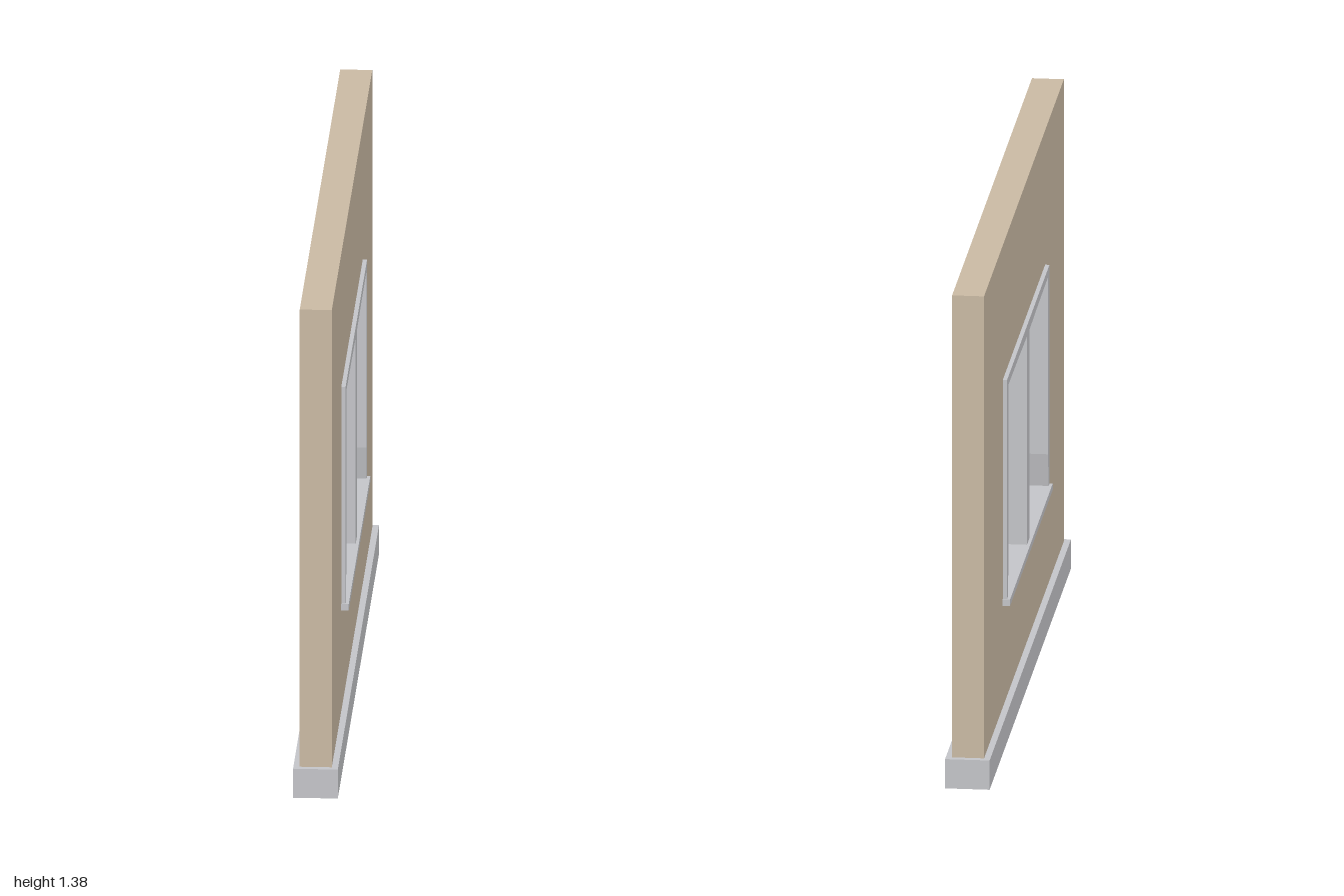
import * as THREE from 'three';

const wallPaint = new THREE.MeshStandardMaterial({ name: 'beige wall', color: 0xcabaa4 });
const trimPaint = new THREE.MeshStandardMaterial({ name: 'grey trim', color: 0xc4c5c9 });

const rect = (hw, y0, y1) => [[-hw, y0], [hw, y0], [hw, y1], [-hw, y1]];
const points = (list) => list.map(([a, b]) => new THREE.Vector2(a, b));

// Slab drawn in the (z, y) plane with openings, centred through its thickness in x
function slab(name, outline, holes, thickness, material) {
  const shape = new THREE.Shape(points(outline));
  holes.forEach((h) => shape.holes.push(new THREE.Path(points(h))));
  const geo = new THREE.ExtrudeGeometry(shape, { depth: thickness, bevelEnabled: false });
  geo.translate(0, 0, -thickness / 2).rotateY(-Math.PI / 2);
  const mesh = new THREE.Mesh(geo, material);
  mesh.name = name;
  return mesh;
}

function box(name, w, h, d, y, material) {
  const mesh = new THREE.Mesh(new THREE.BoxGeometry(w, h, d), material);
  mesh.position.y = y;
  mesh.name = name;
  return mesh;
}

export function createModel() {
  const model = new THREE.Group();
  model.name = 'wallWithWindow';

  // Plinth and wall panel
  model.add(box('plinth', 0.12, 0.082, 2, 0.041, trimPaint));
  const opening = rect(0.521, 0.372, 1.0);
  model.add(slab('wall', rect(0.982, 0.082, 1.377), [opening], 0.086, wallPaint));

  // Window frame: two mirrored openings, splayed at the lower outer corners
  const pane = [
    [0.03, 0.386], [0.502, 0.386], [0.485, 0.48],
    [0.485, 0.976], [0.23, 0.974], [0.03, 0.97],
  ];
  const mirrored = pane.map(([z, y]) => [-z, y]);
  model.add(slab('windowFrame', opening, [pane, mirrored], 0.109, trimPaint));

  // Sill projecting on both faces
  model.add(box('sill', 0.126, 0.018, 1.05, 0.377, trimPaint));

  return model;
}
